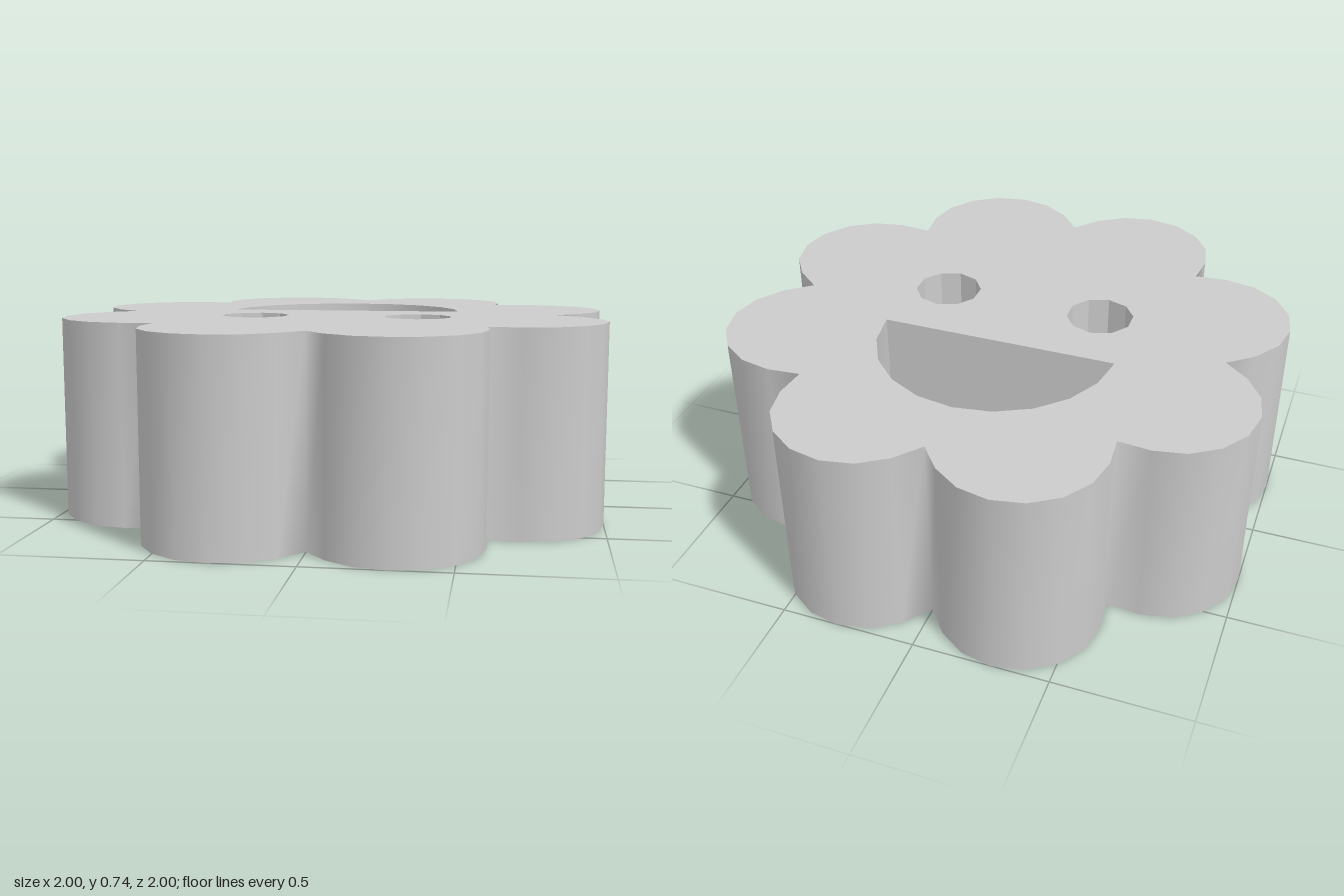
import * as THREE from 'three';

const HEIGHT = 0.735;

// Points on a circular arc; angles in degrees, from a to b
function arc(cx, cy, r, a, b, segments) {
  return Array.from({ length: segments + 1 }, (_, i) => {
    const t = THREE.MathUtils.degToRad(a + ((b - a) * i) / segments);
    return new THREE.Vector2(cx + r * Math.cos(t), cy + r * Math.sin(t));
  });
}

// Eight half-round petals, joined at sharp valleys
function petalOutline() {
  const valley = 0.82;
  const half = Math.PI / 8;
  const centre = valley * Math.cos(half);
  const points = [];
  for (let i = 0; i < 8; i++) {
    const deg = 22.5 + i * 45;
    const a = THREE.MathUtils.degToRad(deg);
    const petal = arc(centre * Math.cos(a), centre * Math.sin(a), 0.301, deg - 90, deg + 90, 8);
    const start = a - half;
    points.push(new THREE.Vector2(valley * Math.cos(start), valley * Math.sin(start)), ...petal.slice(1, 8));
  }
  return points;
}

// Upright wall along a line of points; it faces right of the walking direction
function wall(points, closed, smooth) {
  const position = [];
  const index = [];
  const n = points.length;
  points.forEach((p) => position.push(p.x, p.y, 0, p.x, p.y, HEIGHT));
  for (let i = 0; i < (closed ? n : n - 1); i++) {
    const a = 2 * i;
    const b = 2 * ((i + 1) % n);
    index.push(a, b, b + 1, a, b + 1, a + 1);
  }
  let geometry = new THREE.BufferGeometry();
  geometry.setAttribute('position', new THREE.Float32BufferAttribute(position, 3));
  geometry.setIndex(index);
  if (!smooth) geometry = geometry.toNonIndexed();
  geometry.computeVertexNormals();
  return geometry;
}

export function createModel() {
  const group = new THREE.Group();
  group.name = 'flower';
  const material = new THREE.MeshStandardMaterial({ color: 0xcccccc });

  // Shapes are drawn flat and laid down, so shape y runs towards the back
  const add = (name, geometry) => {
    geometry.rotateX(-Math.PI / 2);
    const mesh = new THREE.Mesh(geometry, material);
    mesh.name = name;
    group.add(mesh);
  };

  const outline = petalOutline();
  const mouth = arc(-0.002, 0.14, 0.445, 180, 0, 10);
  const eyes = [-0.306, 0.311].map((x) => arc(x, -0.156, 0.126, 90, -270, 10).slice(0, 10));

  // Top and bottom faces with the mouth and eye holes
  const face = new THREE.Shape(outline);
  face.holes = [mouth, ...eyes].map((points) => new THREE.Path(points));
  add('topFace', new THREE.ShapeGeometry(face).translate(0, 0, HEIGHT));
  const bottom = new THREE.ShapeGeometry(face);
  bottom.index.array.reverse();
  bottom.computeVertexNormals();
  add('bottomFace', bottom);

  // Outer petals
  add('petalWall', wall(outline, true, true));

  // Mouth: a rounded side and a straight side
  add('mouthArc', wall(mouth, false, true));
  add('mouthStraight', wall([mouth[10], mouth[0]], false, false));

  // Ten-sided eye holes
  eyes.forEach((points, i) => add(i ? 'leftEye' : 'rightEye', wall(points, true, false)));

  return group;
}
